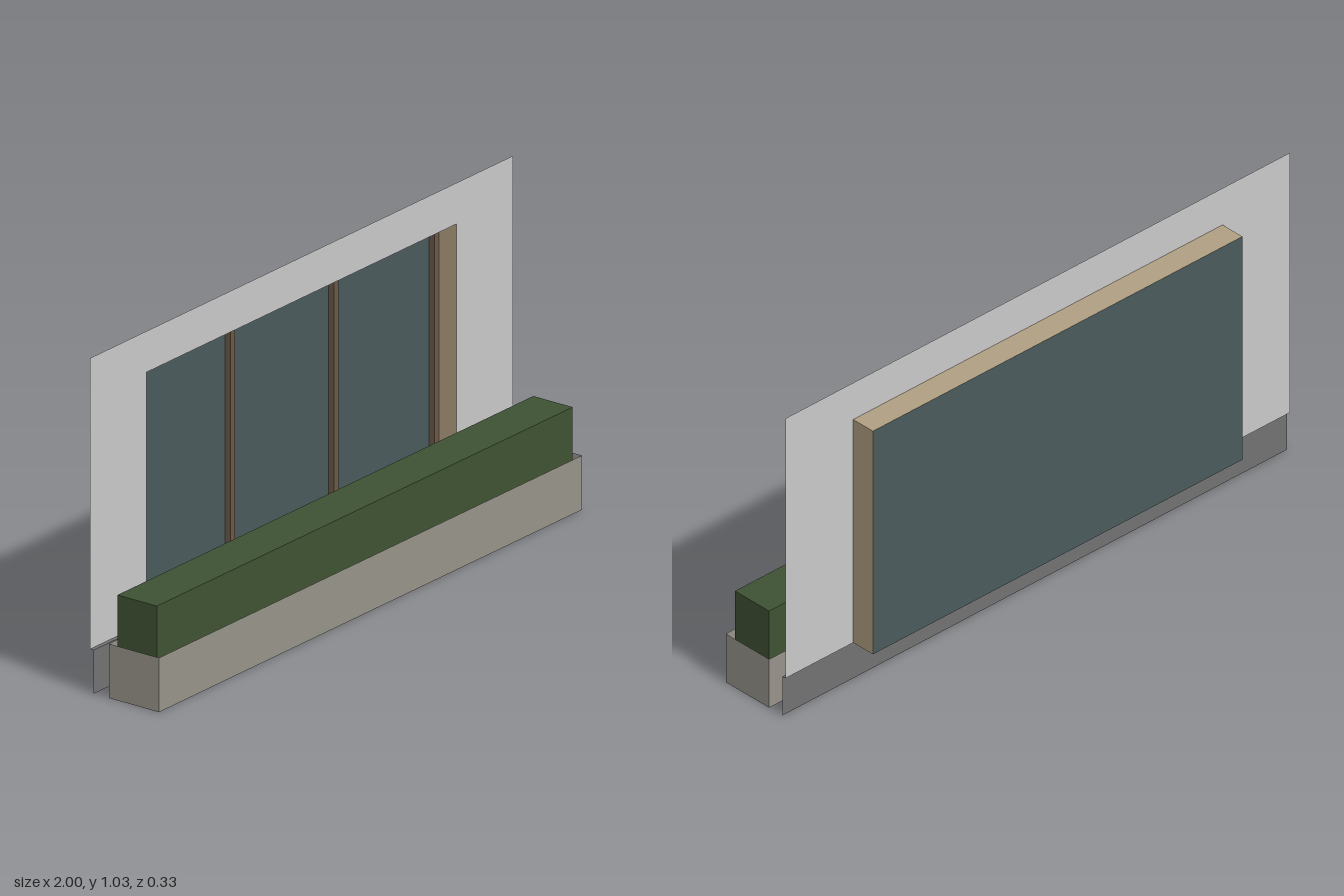
import * as THREE from 'three';

const material = (name, color) => new THREE.MeshStandardMaterial({ name, color, side: THREE.DoubleSide });

// Box of which only the listed faces are kept (0 +x, 1 -x, 2 +y, 3 -y, 4 +z, 5 -z)
function openBox(w, h, d, faces) {
  const g = new THREE.BoxGeometry(w, h, d);
  const all = Array.from(g.index.array);
  g.setIndex(faces.flatMap((f) => all.slice(f * 6, f * 6 + 6)));
  g.clearGroups();
  return g;
}

export function createModel() {
  const model = new THREE.Group();
  model.name = 'windowWallWithPlanter';

  const wallGrey = material('wallGrey', 0xc8c8c8);
  const baseGrey = material('baseGrey', 0x727272);
  const stone = material('planterStone', 0x97938a);
  const green = material('hedgeGreen', 0x3f5233);
  const tan = material('revealTan', 0xb09f82);
  const brown = material('frameBrown', 0x6b5846);
  const glassBlue = material('glassBlue', 0x4a5a5c);

  const add = (parent, name, geometry, mat, x, y, z) => {
    const mesh = new THREE.Mesh(geometry, mat);
    mesh.name = name;
    mesh.position.set(x, y, z);
    parent.add(mesh);
    return mesh;
  };

  const top = 1.035, sill = 0.135, head = 0.908, half = 0.732;
  const wallZ = -0.083, backZ = -0.166, baseZ = -0.07;

  // Thin wall wrapped around the window opening
  const outline = [[-1, sill], [-half, sill], [-half, head], [half, head], [half, sill], [1, sill], [1, top], [-1, top]];
  const wallShape = new THREE.Shape(outline.map(([x, y]) => new THREE.Vector2(x, y)));
  add(model, 'wall', new THREE.ShapeGeometry(wallShape), wallGrey, 0, 0, wallZ);

  // Recessed base strip with its small ledge
  const ledgeDepth = baseZ - wallZ;
  add(model, 'wallBase', openBox(2, sill, ledgeDepth, [2, 4]), baseGrey, 0, sill / 2, (baseZ + wallZ) / 2);

  // Window: reveal sleeve, glass and frame bars
  const windowGroup = new THREE.Group();
  windowGroup.name = 'window';
  model.add(windowGroup);
  const height = head - sill, midY = (head + sill) / 2;
  add(windowGroup, 'reveal', openBox(half * 2, height, wallZ - backZ, [0, 1, 2, 3]), tan, 0, midY, (wallZ + backZ) / 2);
  add(windowGroup, 'glass', new THREE.PlaneGeometry(half * 2, height), glassBlue, 0, midY, backZ);

  const bar = 0.021, barDepth = 0.02, barZ = backZ + 0.001 + barDepth / 2;
  const edge = half - bar / 2 - 0.001;
  for (const x of [-edge, -0.244, 0.244, edge]) {
    add(windowGroup, 'frameUpright', new THREE.BoxGeometry(bar, height - 0.002, barDepth), brown, x, midY, barZ);
  }
  for (const y of [sill + bar / 2 + 0.001, head - bar / 2 - 0.001]) {
    add(windowGroup, 'frameRail', new THREE.BoxGeometry(half * 2 - 0.002, bar, barDepth), brown, 0, y, barZ);
  }

  // Planter walls, open above and below, with the clipped hedge
  add(model, 'planter', openBox(2, 0.168, 0.182, [0, 1, 4, 5]), stone, 0, 0.084, 0.076);
  add(model, 'hedge', new THREE.BoxGeometry(1.966, 0.168, 0.143), green, 0, 0.234, 0.075);

  return model;
}
